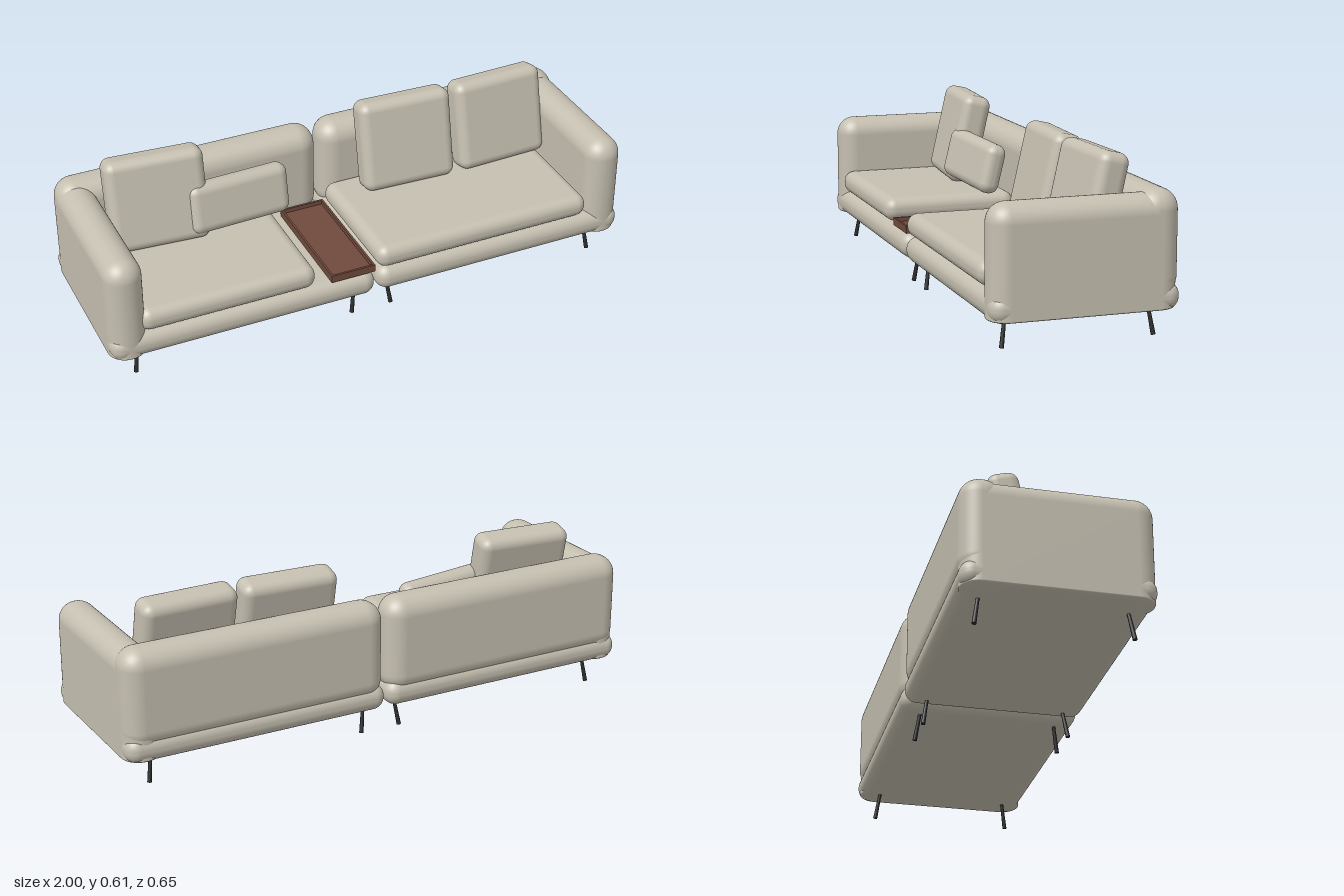
import * as THREE from 'three';
import { RoundedBoxGeometry } from 'three/addons/geometries/RoundedBoxGeometry.js';

const fabric = new THREE.MeshStandardMaterial({ color: 0xc5bfb0 });
fabric.name = 'warm grey fabric';
const wood = new THREE.MeshStandardMaterial({ color: 0x704a3c });
wood.name = 'brown wood';
const metal = new THREE.MeshStandardMaterial({ color: 0x2b2b2b });
metal.name = 'black metal';

// Padded block given by its min and max corners
function pad(name, min, max, radius, bottomSquash = 1) {
  const [w, h, d] = max.map((v, i) => v - min[i]);
  const geo = new RoundedBoxGeometry(w, h, d, 6, radius);
  if (bottomSquash !== 1) {
    // flatten the rounding along the bottom edges
    const p = geo.attributes.position, n = geo.attributes.normal;
    const v = new THREE.Vector3();
    for (let i = 0; i < p.count; i++) {
      const up = p.getY(i) + h / 2;
      if (up > radius + 1e-5) continue;
      p.setY(i, -h / 2 + up * bottomSquash + 0);
      v.fromBufferAttribute(n, i);
      v.y /= bottomSquash;
      v.normalize();
      n.setXYZ(i, v.x, v.y, v.z);
    }
  }
  const mesh = new THREE.Mesh(geo, fabric);
  mesh.name = name;
  mesh.position.set(...max.map((v, i) => (v + min[i]) / 2));
  return mesh;
}

// Loose cushion: lean tips it back, yaw turns it, roll tilts it sideways
function cushion(name, size, position, lean, yaw, roll = 0) {
  const mesh = new THREE.Mesh(new RoundedBoxGeometry(...size, 6, 0.036), fabric);
  mesh.name = name;
  mesh.position.set(...position);
  mesh.rotation.set(lean, yaw, roll, 'YXZ');
  return mesh;
}

// Tapered leg running from its foot to the underside of the base
function leg(foot, top) {
  const a = new THREE.Vector3(...foot), b = new THREE.Vector3(...top);
  const dir = b.clone().sub(a);
  const mesh = new THREE.Mesh(new THREE.CylinderGeometry(0.006, 0.008, dir.length(), 16), metal);
  mesh.name = 'leg';
  mesh.position.copy(a).add(b).multiplyScalar(0.5);
  mesh.quaternion.setFromUnitVectors(new THREE.Vector3(0, 1, 0), dir.normalize());
  return mesh;
}

// One half of the sofa; side is +1 for the left half, -1 for the right
function sofaHalf(side) {
  const half = new THREE.Group();
  half.name = side > 0 ? 'leftModule' : 'rightModule';
  const span = (a, b) => (side > 0 ? [a, b] : [-b, -a]);
  const block = (name, x, y, z, r, squash) => {
    const [x0, x1] = span(...x);
    half.add(pad(name, [x0, y[0], z[0]], [x1, y[1], z[1]], r, squash));
  };
  block('base', [0.004, 1], [0.096, 0.192], [-0.327, 0.327], 0.045);
  block('backrest', [0.006, 1], [0.14, 0.501], [-0.327, -0.18], 0.07);
  block('armrest', [0.863, 1], [0.096, 0.487], [-0.322, 0.327], 0.067, 0.2);
  for (const z of [-1, 1]) {
    half.add(leg([side * 0.905, 0, z * 0.265], [side * 0.89, 0.105, z * 0.249]));
    half.add(leg([side * 0.078, 0, z * 0.265], [side * 0.063, 0.105, z * 0.249]));
  }
  return half;
}

// Shallow tray: floor with a raised rim
function tray() {
  const group = new THREE.Group();
  group.name = 'tray';
  const w = 0.17, d = 0.464, rim = 0.008, h = 0.028;
  const slab = (name, sx, sy, sz, x, y, z) => {
    const mesh = new THREE.Mesh(new THREE.BoxGeometry(sx, sy, sz), wood);
    mesh.name = name;
    mesh.position.set(x, y, z);
    group.add(mesh);
  };
  slab('trayFloor', w - 2 * rim, 0.012, d - 2 * rim, 0, 0.006, 0);
  for (const s of [-1, 1]) {
    slab('traySideRim', rim, h, d, s * (w - rim) / 2, h / 2, 0);
    slab('trayEndRim', w - 2 * rim, h, rim, 0, h / 2, s * (d - rim) / 2);
  }
  group.position.set(-0.093, 0.193, 0.081);
  return group;
}

export function createModel() {
  const sofa = new THREE.Group();
  sofa.name = 'sofa';
  sofa.add(sofaHalf(1), sofaHalf(-1));

  // Seat cushions
  sofa.add(pad('leftSeatCushion', [0.006, 0.19, -0.185], [0.86, 0.277, 0.322], 0.04));
  sofa.add(pad('rightSeatCushion', [-0.89, 0.19, -0.185], [-0.235, 0.277, 0.322], 0.04));

  // Back cushions and the small lumbar cushion
  const size = [0.362, 0.345, 0.11];
  sofa.add(cushion('backCushion', size, [0.304, 0.438, -0.106], -0.22, -0.04));
  sofa.add(cushion('backCushion', size, [0.69, 0.438, -0.106], -0.22, 0.04));
  sofa.add(cushion('backCushion', size, [-0.674, 0.438, -0.108], -0.22, -0.08));
  sofa.add(cushion('lumbarCushion', [0.395, 0.188, 0.08], [-0.378, 0.38, -0.07], -0.23, 0.1, -0.04));

  sofa.add(tray());
  return sofa;
}
